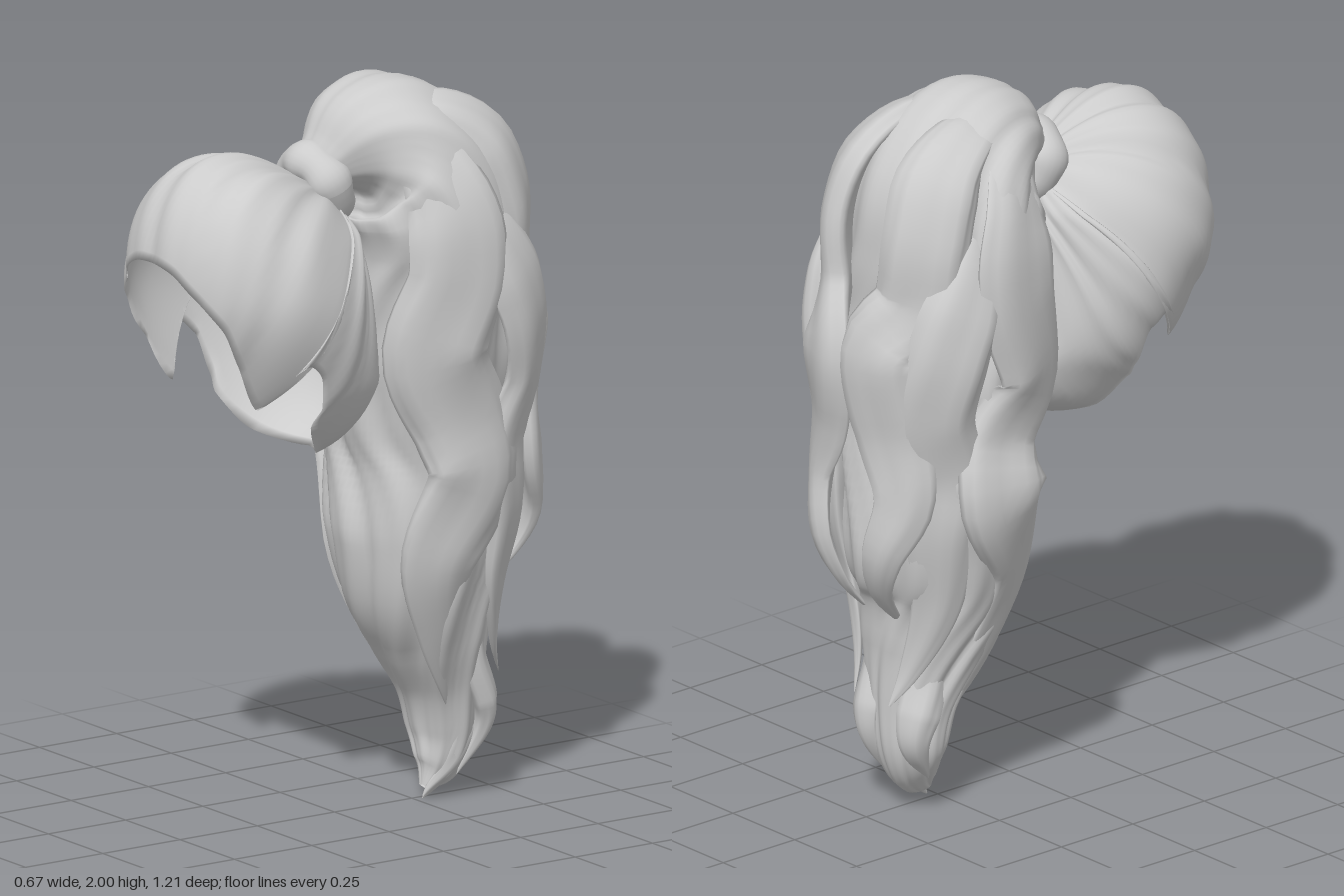
import * as THREE from 'three';

const V = (x, y, z) => new THREE.Vector3(x, y, z);
const smooth = THREE.MathUtils.smoothstep;
const hair = new THREE.MeshStandardMaterial({ color: 0xcccccc, side: THREE.DoubleSide });

// Skin a grid of closed rings, point(i, j), with welded seams
function loft(rows, cols, point) {
  const pos = [], index = [];
  for (let i = 0; i <= rows; i++)
    for (let j = 0; j < cols; j++) pos.push(...point(i / rows, j / cols).toArray());
  for (let i = 0; i < rows; i++)
    for (let j = 0; j < cols; j++) {
      const a = i * cols + j, b = i * cols + (j + 1) % cols;
      index.push(a, a + cols, b, b, a + cols, b + cols);
    }
  const g = new THREE.BufferGeometry();
  g.setAttribute('position', new THREE.Float32BufferAttribute(pos, 3));
  g.setIndex(index);
  g.computeVertexNormals();
  return g;
}

function add(group, name, geometry) {
  const m = new THREE.Mesh(geometry, hair);
  m.name = name;
  group.add(m);
  return m;
}

// Hair pulled back over the head: strands run from the tie to the hairline
function capGeometry() {
  const centre = V(0, 1.42, 0.275), radii = V(0.335, 0.44, 0.307), axis = V(1, 0, 0), tilt = 0.38;
  const toUnit = p => p.clone().sub(centre).applyAxisAngle(axis, -tilt).divide(radii).normalize();
  const half = [
    [0, 1.59, 0.6], [0.09, 1.57, 0.59], [0.16, 1.5, 0.55], [0.2, 1.43, 0.49], [0.22, 1.33, 0.45],
    [0.24, 1.19, 0.395], [0.26, 1.26, 0.36], [0.3, 1.33, 0.3], [0.29, 1.29, 0.25],
    [0.27, 1.19, 0.23], [0.25, 1.11, 0.23], [0.16, 1.04, 0.18], [0, 1.0, 0.11]];
  const mirrored = half.slice(1, -1).reverse().map(([x, y, z]) => [-x, y, z]);
  const edge = new THREE.CatmullRomCurve3([...half, ...mirrored].map(p => toUnit(V(...p))), true, 'catmullrom', 0.4);
  const pole = toUnit(V(0, 1.72, 0.07));
  return loft(52, 132, (u, v) => {
    const inner = u > 0.6;
    const t = inner ? (1 - u) / 0.4 : u / 0.6;      // out to the hairline, then back inside
    const e = edge.getPoint(v).normalize();
    const ang = pole.angleTo(e), s = Math.sin(ang);
    const d = pole.clone().multiplyScalar(Math.sin((1 - t) * ang) / s).addScaledVector(e, Math.sin(t * ang) / s);
    const w = v * Math.PI * 2 + 0.12 * Math.sin(t * 4);
    const relief = Math.sin(Math.PI * Math.min(t * 1.1, 0.75));
    const lobes = 0.04 * (Math.abs(Math.sin(w * 6 + 0.6)) - 0.6) + 0.01 * Math.sin(w * 23);
    const r = inner ? 0.93 + 0.05 * t : 1 + lobes * relief;
    const p = d.multiplyScalar(r).multiply(radii).applyAxisAngle(axis, tilt).add(centre);
    // sideburns draw in at the face, the back sits flat against the tail
    p.x *= 1 - (1 - smooth(p.y, 1.1, 1.52)) * (0.08 + 0.14 * smooth(p.z, 0.15, 0.45));
    p.z -= 0.045 * (1 - smooth(p.z, 0, 0.25)) * Math.min(1, ((p.y - 1.42) / 0.2) ** 2);
    return p;
  });
}

// Main body of the ponytail: fans out of the tie, arches over and hangs down
function tailGeometry() {
  // spine height, spine z, half depth, half width, centre x
  const rows = [
    [1.735, 0.08, 0.05, 0.06, 0], [1.785, 0.02, 0.09, 0.1, 0], [1.815, -0.06, 0.165, 0.18, 0],
    [1.79, -0.15, 0.21, 0.25, 0], [1.69, -0.215, 0.235, 0.285, 0], [1.55, -0.245, 0.22, 0.295, 0],
    [1.4, -0.25, 0.22, 0.285, 0], [1.25, -0.26, 0.23, 0.27, 0], [1.1, -0.265, 0.22, 0.26, -0.01],
    [0.95, -0.28, 0.22, 0.275, -0.02], [0.75, -0.275, 0.235, 0.245, -0.01], [0.6, -0.27, 0.2, 0.215, 0],
    [0.45, -0.305, 0.15, 0.17, 0], [0.3, -0.345, 0.105, 0.125, -0.01], [0.17, -0.355, 0.085, 0.1, -0.015],
    [0.08, -0.325, 0.06, 0.06, 0], [0.03, -0.28, 0.01, 0.015, 0.01]];
  const spine = new THREE.CatmullRomCurve3(rows.map(r => V(r[4], r[0], r[1])), false, 'catmullrom');
  const size = new THREE.CatmullRomCurve3(rows.map(r => V(r[3], r[2], 0)), false, 'catmullrom');
  return loft(100, 96, (u, v) => {
    const p = spine.getPoint(u), t = spine.getTangent(u), s = size.getPoint(u), a = v * Math.PI * 2;
    const n = V(0, t.z, -t.y).normalize();
    const wave = a + 0.35 * Math.sin(p.y * 6.5) * Math.min(1, u * 3);
    const relief = Math.min(1, 0.25 + u * 2.2);
    const r = 1 + relief * (0.1 * (Math.abs(Math.sin(wave * 4)) - 0.5) + 0.016 * Math.sin(wave * 17));
    return p.addScaledVector(n, r * s.y * Math.cos(a)).add(V(r * s.x * Math.sin(a), 0, 0));
  });
}

// One flattened, tapering lock laid along a path, facing away from the tail's middle
function lockGeometry(points, width, thick) {
  const path = new THREE.CatmullRomCurve3(points.map(p => V(...p)));
  return loft(48, 20, (u, v) => {
    const p = path.getPointAt(u), t = path.getTangentAt(u);
    const n = V(p.x, Math.max(0, p.y - 1.7) * 1.2, p.z + 0.26);
    n.addScaledVector(t, -n.dot(t)).normalize();
    const side = t.clone().cross(n);
    const taper = Math.max(0.02, Math.min(1, Math.pow(u / 0.22, 0.6), Math.pow((1 - u) / 0.4, 0.8)));
    const a = v * Math.PI * 2, lift = Math.sin(a);
    const ridge = 1 + 0.08 * Math.cos(a * 5 + u * 4);
    return p.addScaledVector(side, Math.cos(a) * width * taper * ridge)
      .addScaledVector(n, lift * (lift < 0 ? 0.6 : 1) * thick * taper * ridge);
  });
}

export function createModel() {
  const model = new THREE.Group();
  model.name = 'ponytailHair';

  add(model, 'headHair', capGeometry());

  // Band of hair wrapped round the base of the tail
  const tie = add(model, 'hairTie', loft(48, 20, (u, v) => {
    const a = u * Math.PI * 2, b = v * Math.PI * 2;
    const r = 0.05 * (1 + 0.08 * Math.sin(a * 5));
    return V((0.075 + r * Math.cos(b)) * Math.cos(a), (0.07 + r * Math.cos(b)) * Math.sin(a), -r * 1.2 * Math.sin(b));
  }));
  tie.position.set(0, 1.73, 0.06);
  tie.rotation.x = 0.4;

  add(model, 'tailBody', tailGeometry());

  const locks = new THREE.Group();
  locks.name = 'tailLocks';
  model.add(locks);
  for (const s of [1, -1]) {
    const k = s > 0 ? 0 : 0.04;   // slight offset between the two sides
    const lock = (name, pts, w, d) =>
      add(locks, name, lockGeometry(pts.map(([x, y, z]) => [x * s, y, z]), w, d));
    lock('sideLock', [[0.07, 1.81, -0.03], [0.17, 1.83, -0.14], [0.25, 1.7, -0.2], [0.275, 1.5, -0.21],
      [0.25, 1.28 - k, -0.15], [0.24, 1.08, -0.24], [0.25 + k, 0.94, -0.27], [0.21, 0.7, -0.18],
      [0.16, 0.5, -0.22], [0.08, 0.25, -0.31]], 0.14, 0.05);
    lock('backLock', [[0.04, 1.85, -0.08], [0.11, 1.915, -0.21], [0.15, 1.83, -0.37], [0.17, 1.66, -0.44],
      [0.15, 1.48, -0.46], [0.1, 1.33 + k, -0.54], [0.12, 1.12, -0.51], [0.16, 0.95, -0.51],
      [0.12, 0.79, -0.55], [0.08, 0.67, -0.52], [0.06, 0.54, -0.42]], 0.115, 0.055);
    lock('outerLock', [[0.18, 1.76, -0.26], [0.25, 1.57, -0.35], [0.25, 1.36, -0.43], [0.21, 1.18, -0.45],
      [0.2, 1.0, -0.4], [0.19, 0.8 + k, -0.41], [0.16, 0.62, -0.4], [0.1, 0.42, -0.44],
      [0.07, 0.33, -0.48]], 0.11, 0.05);
    lock('tipLock', [[0.08, 0.6, -0.35], [0.09, 0.4, -0.37], [0.08 + k / 2, 0.22, -0.42], [0.05 + k, 0.06 + k, -0.36]],
      0.06, 0.045);
  }
  add(locks, 'lastTip', lockGeometry([[0, 0.45, -0.35], [0, 0.25, -0.37], [0.02, 0.12, -0.35], [0.02, 0, -0.27]], 0.075, 0.06));
  return model;
}
